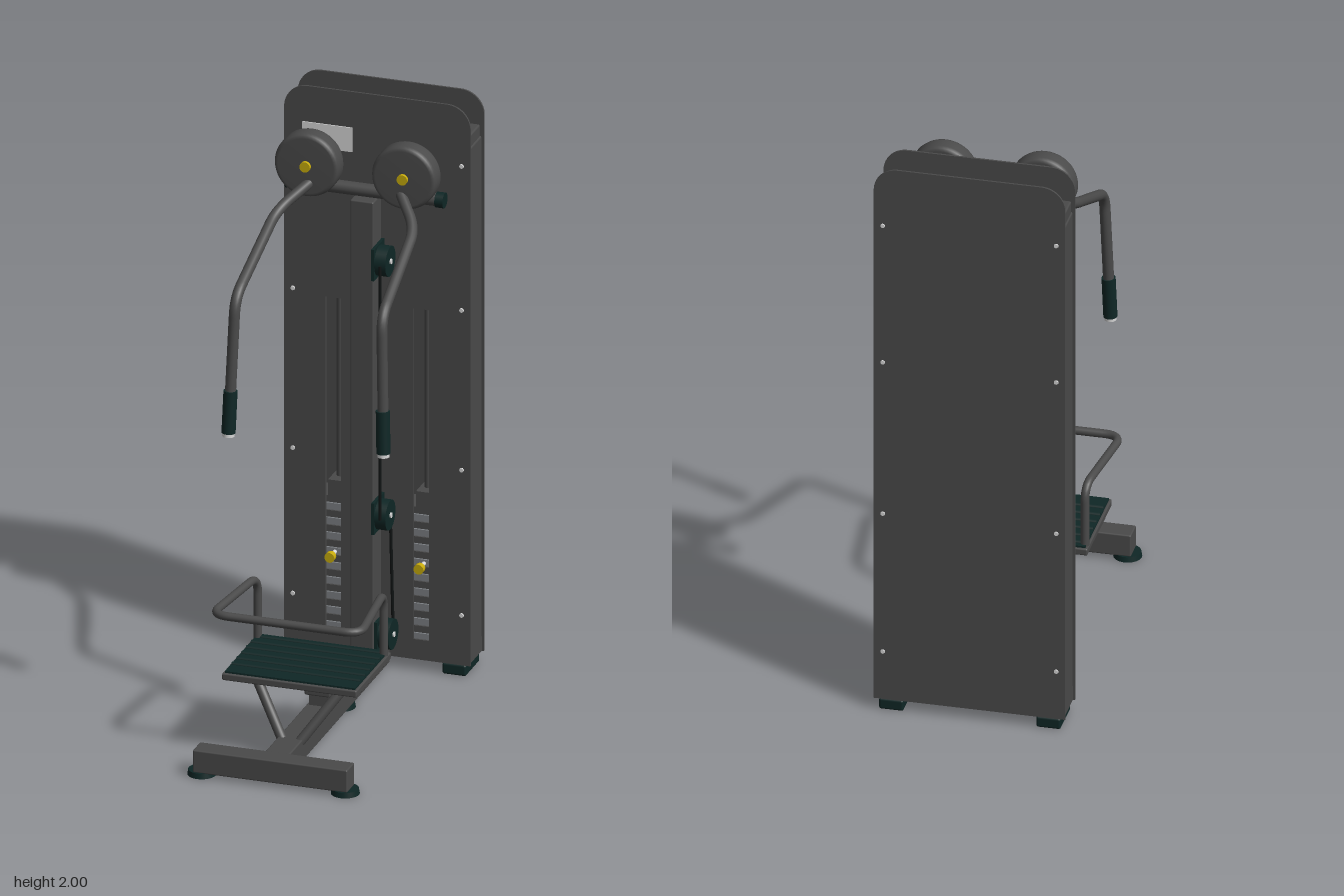
import * as THREE from 'three';
import { RoundedBoxGeometry } from 'three/addons/geometries/RoundedBoxGeometry.js';

const mat = (name, color) => new THREE.MeshStandardMaterial({ name, color });
const V = (x, y, z) => new THREE.Vector3(x, y, z);

export function createModel() {
  const root = new THREE.Group();
  root.name = 'cableMachine';
  const steel = mat('charcoalSteel', 0x4a4a4a);
  const rubber = mat('darkGreenRubber', 0x0f2726);
  const yellow = mat('yellowKnob', 0xc8ac0c);
  const chrome = mat('brightMetal', 0xd8d8d8);
  const stack = mat('weightGrey', 0x7c8084);
  const black = mat('blackCable', 0x101414);

  const add = (name, geo, m, x = 0, y = 0, z = 0) => {
    const mesh = new THREE.Mesh(geo, m);
    mesh.name = name;
    mesh.position.set(x, y, z);
    root.add(mesh);
    return mesh;
  };
  // box given by its limits on each axis
  const box = (name, m, [x0, x1], [y0, y1], [z0, z1], r = 0) => {
    const s = [x1 - x0, y1 - y0, z1 - z0];
    const geo = r ? new RoundedBoxGeometry(...s, 2, r) : new THREE.BoxGeometry(...s);
    return add(name, geo, m, (x0 + x1) / 2, (y0 + y1) / 2, (z0 + z1) / 2);
  };
  // cylinder between two points
  const rod = (name, m, a, b, r, r2 = r, seg = 24) => {
    const d = b.clone().sub(a);
    const mesh = add(name, new THREE.CylinderGeometry(r2, r, d.length(), seg), m);
    mesh.position.copy(a).add(b).multiplyScalar(0.5);
    mesh.quaternion.setFromUnitVectors(V(0, 1, 0), d.normalize());
    return mesh;
  };
  // bent tube with filleted corners
  const pipe = (name, m, pts, r, fillet, seg = 80) => {
    const path = new THREE.CurvePath();
    let from = pts[0];
    for (let i = 1; i < pts.length - 1; i++) {
      const p = pts[i];
      const a = p.clone().add(pts[i - 1].clone().sub(p).setLength(fillet));
      const b = p.clone().add(pts[i + 1].clone().sub(p).setLength(fillet));
      path.add(new THREE.LineCurve3(from, a));
      path.add(new THREE.QuadraticBezierCurve3(a, p, b));
      from = b;
    }
    path.add(new THREE.LineCurve3(from, pts[pts.length - 1]));
    return add(name, new THREE.TubeGeometry(path, seg, r, 14), m);
  };

  // tower panels with rounded top corners; the front one is slotted
  const panel = (name, z, slotted) => {
    const s = new THREE.Shape();
    const w = 0.318, r = 0.08;
    s.moveTo(-w, 0.04);
    s.lineTo(w, 0.04);
    s.lineTo(w, 2 - r);
    s.absarc(w - r, 2 - r, r, 0, Math.PI / 2);
    s.absarc(-w + r, 2 - r, r, Math.PI / 2, Math.PI);
    s.closePath();
    if (slotted) for (const x of [-0.15, 0.15]) {
      const h = new THREE.Path();
      h.moveTo(x - 0.026, 0.11);
      h.lineTo(x - 0.026, 1.27);
      h.lineTo(x + 0.026, 1.27);
      h.lineTo(x + 0.026, 0.11);
      h.closePath();
      s.holes.push(h);
    }
    add(name, new THREE.ExtrudeGeometry(s, { depth: 0.007, bevelEnabled: false, curveSegments: 10 }), steel, 0, 0, z);
  };
  panel('frontPanel', -0.477, true);
  panel('backPanel', -0.613, false);

  // tower frame between the panels
  for (const s of [-1, 1]) {
    const span = (a, b) => (s > 0 ? [a, b] : [-b, -a]);
    box('towerSide', steel, span(0.27, 0.312), [0.04, 1.85], [-0.604, -0.479], 0.008);
    box('towerFoot', rubber, span(0.22, 0.302), [0, 0.04], [-0.612, -0.472], 0.008);

    // weight stack behind the slot
    for (let i = 0; i < 18; i++)
      box('weightPlate', i % 2 ? steel : stack, span(0.07, 0.23), [0.1 + i * 0.026, 0.123 + i * 0.026], [-0.59, -0.492]);
    box('stackHead', steel, span(0.125, 0.175), [0.56, 0.62], [-0.57, -0.492]);
    rod('guideRod', steel, V(s * 0.15, 0.6, -0.54), V(s * 0.15, 1.85, -0.54), 0.012);
    rod('pinShaft', chrome, V(s * 0.152, 0.37, -0.5), V(s * 0.152, 0.37, -0.455), 0.007);
    rod('pinKnob', yellow, V(s * 0.152, 0.37, -0.456), V(s * 0.152, 0.37, -0.436), 0.017);

    // panel screws
    for (const y of [0.215, 0.725, 1.285, 1.79]) {
      rod('frontScrew', chrome, V(s * 0.288, y, -0.474), V(s * 0.288, y, -0.466), 0.009, 0.007, 12);
      rod('backScrew', chrome, V(s * 0.288, y, -0.61), V(s * 0.288, y, -0.616), 0.009, 0.007, 12);
    }
  }
  box('towerTop', steel, [-0.308, 0.308], [1.84, 1.89], [-0.598, -0.484], 0.006);
  box('towerBottom', steel, [-0.312, 0.312], [0.042, 0.09], [-0.604, -0.479]);
  box('infoPlate', chrome, [-0.255, -0.085], [1.79, 1.875], [-0.47, -0.466]);

  // floor frame
  box('baseBeam', steel, [-0.042, 0.042], [0.016, 0.092], [-0.475, 0.53], 0.005);
  box('frontCrossbar', steel, [-0.264, 0.264], [0.016, 0.095], [0.526, 0.6], 0.005);
  for (const [x, z] of [[-0.245, 0.563], [0.245, 0.563], [0, -0.112]])
    rod('roundFoot', rubber, V(x, 0, z), V(x, 0.018, z), 0.047, 0.044, 32);

  // upright column and top crossbar
  box('column', steel, [-0.04, 0.04], [0.09, 1.69], [-0.396, -0.315], 0.005);
  rod('topCrossbar', steel, V(-0.25, 1.713, -0.357), V(0.25, 1.713, -0.357), 0.022);

  // swing arms with pivot discs
  for (const s of [-1, 1]) {
    const x = s * 0.166;
    rod('crossbarCap', rubber, V(s * 0.242, 1.713, -0.357), V(s * 0.27, 1.713, -0.357), 0.026);
    box('discBracket', steel, [x - 0.006, x + 0.006], [1.71, 1.86], [-0.35, -0.305]);
    const profile = [[0, -0.035], [0.095, -0.035], [0.106, -0.031], [0.11, -0.02], [0.11, 0.02], [0.106, 0.031], [0.095, 0.035], [0, 0.035]]
      .map(([a, b]) => new THREE.Vector2(a, b));
    add('pivotDisc', new THREE.LatheGeometry(profile, 48), steel, x, 1.82, -0.276).rotation.x = Math.PI / 2;
    rod('discHub', yellow, V(x, 1.82, -0.245), V(x, 1.82, -0.23), 0.018);
    pipe('swingArm', steel, [V(s * 0.15, 1.765, -0.26), V(s * 0.236, 1.69, -0.155),
      V(s * 0.25, 1.53, 0.215), V(s * 0.265, 1.06, 0.24)], 0.018, 0.06);
    rod('handGrip', rubber, V(s * 0.2645, 1.065, 0.24), V(s * 0.26, 1.21, 0.233), 0.023);
    rod('gripEnd', chrome, V(s * 0.2648, 1.053, 0.2405), V(s * 0.2645, 1.066, 0.24), 0.02);
  }

  // pulleys beside the column, and the cable
  for (const [y, z] of [[1.48, -0.344], [0.59, -0.344], [0.16, -0.374]]) {
    box('pulleyBracket', rubber, [0.04, 0.05], [y - 0.055, y + 0.055], [z - 0.052, z + 0.052]);
    rod('pulleyWheel', rubber, V(0.05, y, z), V(0.088, y, z), 0.051, 0.051, 32);
    rod('pulleyBolt', chrome, V(0.085, y, z), V(0.093, y, z), 0.009, 0.009, 12);
  }
  rod('frontCable', black, V(0.07, 0.59, -0.293), V(0.07, 1.48, -0.293), 0.005, 0.005, 10);
  rod('rearCable', black, V(0.07, 0.16, -0.424), V(0.07, 0.59, -0.395), 0.005, 0.005, 10);

  // platform on its post and struts
  box('platformPost', steel, [-0.032, 0.032], [0.09, 0.27], [0.052, 0.115]);
  box('postSleeve', steel, [-0.045, 0.045], [0.13, 0.262], [0.038, 0.128], 0.006);
  rod('heightShaft', chrome, V(0.04, 0.2, 0.083), V(0.06, 0.2, 0.083), 0.008);
  rod('heightKnob', yellow, V(0.05, 0.2, 0.083), V(0.08, 0.2, 0.083), 0.019);
  for (const s of [-1, 1])
    rod('platformStrut', steel, V(s * 0.03, 0.08, 0.388), V(s * 0.165, 0.272, 0.29), 0.017);
  box('platformFrame', steel, [-0.23, 0.23], [0.268, 0.292], [0.062, 0.408], 0.005);
  box('platformMat', rubber, [-0.222, 0.222], [0.285, 0.298], [0.07, 0.4]);
  for (let i = 0; i < 6; i++)
    rod('matRib', rubber, V(-0.22, 0.297, 0.095 + i * 0.048), V(0.22, 0.297, 0.095 + i * 0.048), 0.008, 0.008, 10);

  // guard rail around the platform
  pipe('guardRail', steel, [V(-0.215, 0.28, 0.093), V(-0.215, 0.51, 0.093), V(-0.255, 0.51, 0.443),
    V(0.255, 0.51, 0.443), V(0.215, 0.51, 0.093), V(0.215, 0.28, 0.093)], 0.014, 0.06, 140);

  return root;
}
